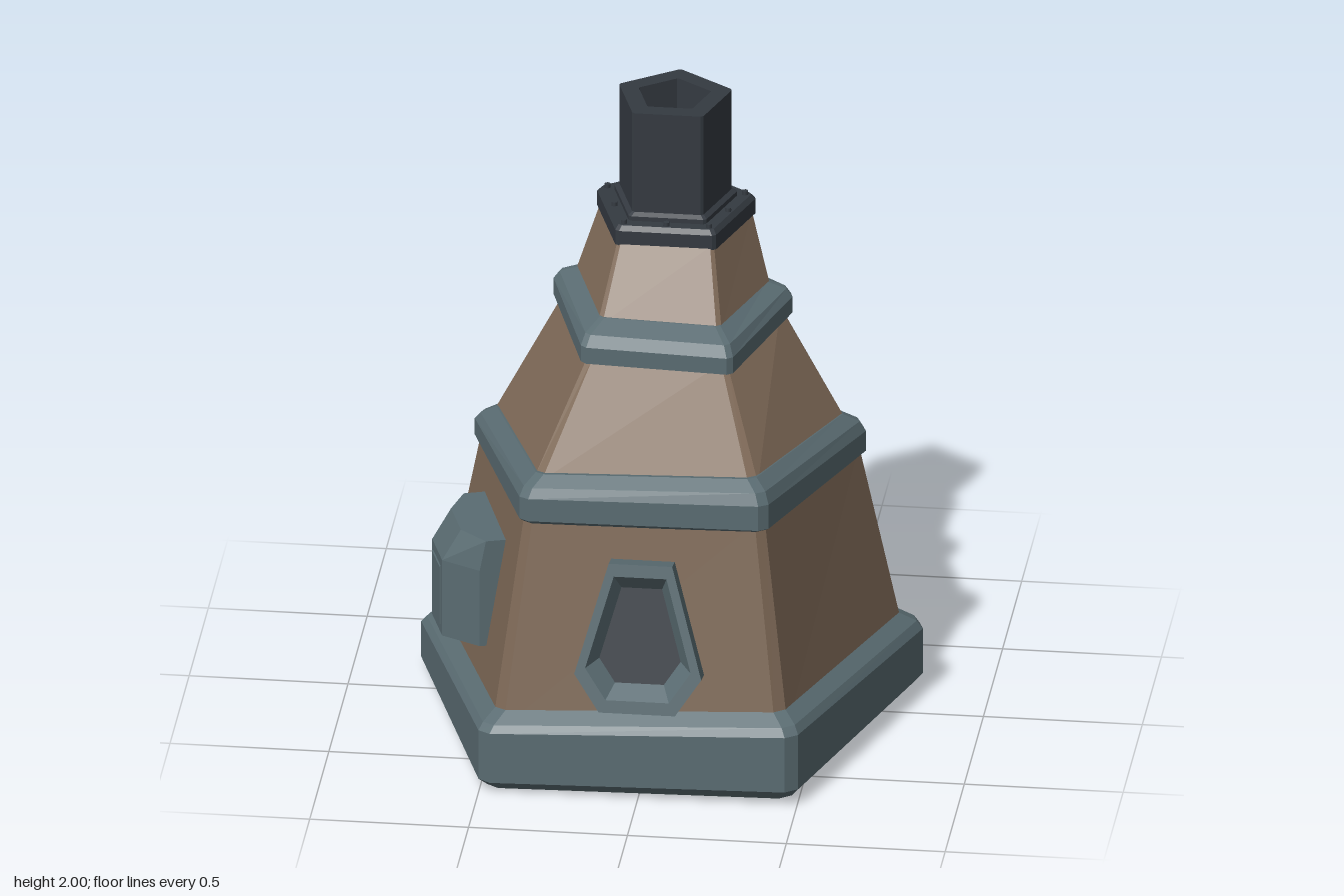
import * as THREE from 'three';

const V = (x, y, z) => new THREE.Vector3(x, y, z);

// Flat-shaded skin over a list of matching loops, with optional end caps
function loft(loops, capStart = false, capEnd = false) {
  const out = [];
  const tri = (a, b, c) => out.push(...a.toArray(), ...b.toArray(), ...c.toArray());
  const n = loops[0].length;
  for (let j = 0; j < loops.length - 1; j++) {
    for (let i = 0; i < n; i++) {
      const k = (i + 1) % n, lo = loops[j], hi = loops[j + 1];
      tri(lo[i], lo[k], hi[k]);
      tri(lo[i], hi[k], hi[i]);
    }
  }
  const first = loops[0], last = loops[loops.length - 1];
  for (let i = 1; i < n - 1; i++) {
    if (capStart) tri(first[0], first[i + 1], first[i]);
    if (capEnd) tri(last[0], last[i], last[i + 1]);
  }
  const g = new THREE.BufferGeometry();
  g.setAttribute('position', new THREE.Float32BufferAttribute(out, 3));
  g.computeVertexNormals();
  return g;
}

// Five-sided ring with clipped corners; r radius, c centre z, y height, tx/tz slopes
function ring([r, c, y, tx = 0, tz = 0], clip = 0.03) {
  const corner = (i) => {
    const a = (i * 72 + 36) * Math.PI / 180;
    const x = r * Math.sin(a), z = c + r * Math.cos(a);
    return V(x, y + tx * x + tz * z, z);
  };
  const pts = [];
  for (let i = 0; i < 5; i++) {
    pts.push(corner(i).lerp(corner(i + 4), clip), corner(i).lerp(corner(i + 1), clip));
  }
  return pts;
}

export function createModel() {
  const model = new THREE.Group();
  const material = (name, color) => {
    const m = new THREE.MeshStandardMaterial({ color });
    m.name = name;
    return m;
  };
  const brown = material('brown wall', 0x7d6856);
  const slate = material('slate trim', 0x5a6c72);
  const iron = material('dark iron', 0x343a41);
  const hollow = material('vent hollow', 0x3d4349);

  const add = (name, geometry, mat, parent = model) => {
    const m = new THREE.Mesh(geometry, mat);
    m.name = name;
    parent.add(m);
    return m;
  };
  const stack = (name, mat, rings, capStart, capEnd) =>
    add(name, loft(rings.map((p) => ring(p)), capStart, capEnd), mat);

  // Leaning walls
  stack('lowerWall', brown, [[0.775, 0.065, 0.2, 0.04, 0.04], [0.632, 0.06, 0.86, 0.02, 0.06]]);
  stack('middleWall', brown, [[0.59, 0.06, 0.95, 0.03, 0.1], [0.36, -0.09, 1.29, -0.03, -0.06]]);
  stack('upperWall', brown, [[0.325, -0.1, 1.37, -0.03, -0.03], [0.254, -0.2, 1.58]]);

  // Sloping trim bands
  stack('baseTrim', slate, [
    [0.8, 0.065, 0.015, 0.015, 0], [0.84, 0.067, 0.05, 0.02, 0],
    [0.84, 0.067, 0.195, 0.04, 0.045], [0.82, 0.066, 0.22, 0.045, 0.045],
    [0.76, 0.065, 0.255, 0.045, 0.045],
  ], true, true);
  stack('middleTrim', slate, [
    [0.615, 0.06, 0.82, 0.02, 0.06], [0.655, 0.06, 0.845, 0.01, 0.06],
    [0.655, 0.06, 0.91, 0.02, 0.085], [0.635, 0.06, 0.94, 0.03, 0.095],
    [0.58, 0.06, 0.97, 0.03, 0.1],
  ], true, true);
  stack('upperTrim', slate, [
    [0.35, -0.085, 1.265, -0.03, -0.06], [0.4, -0.08, 1.275, -0.03, -0.06],
    [0.4, -0.08, 1.33, -0.03, -0.06], [0.38, -0.085, 1.36, -0.03, -0.04],
    [0.315, -0.1, 1.385, -0.03, -0.02],
  ], true, true);

  // Chimney flange and hollow pipe
  const cz = -0.205;
  stack('chimneyFlange', iron, [
    [0.265, cz, 1.57], [0.265, cz, 1.62], [0.25, cz, 1.635],
  ], true, true);
  stack('chimneyPipe', iron, [
    [0.205, cz, 1.63], [0.205, cz, 1.65], [0.188, cz, 1.66],
    [0.188, cz, 2], [0.12, cz, 2], [0.115, cz, 1.72],
  ], false, true);

  // Flange bolts at corners and edge middles
  for (let i = 0; i < 10; i++) {
    const a = i * Math.PI / 5, r = i % 2 ? 0.228 : 0.188;
    add('flangeBolt', new THREE.CylinderGeometry(0.01, 0.011, 0.015, 6), iron)
      .position.set(r * Math.sin(a), 1.64, cz + r * Math.cos(a));
  }

  // Framed six-sided vents lying on the wall
  const outline = [[-0.12, -0.24], [0.12, -0.24], [0.2, -0.12], [0.1, 0.24], [-0.1, 0.24], [-0.2, -0.12]];
  const hex = (s, z) => outline.map(([x, y]) => V(x * s, y * s, z));
  const vent = (name, degrees, y, sy) => {
    const pivot = new THREE.Group();
    pivot.name = name;
    pivot.position.set(0, y, 0.065);
    pivot.rotation.y = degrees * Math.PI / 180;
    const panel = new THREE.Group();
    panel.name = name + 'Panel';
    panel.position.z = 0.58;
    panel.rotation.x = -0.2;
    panel.scale.y = sy;
    pivot.add(panel);
    add('ventFrame', loft([hex(1, -0.03), hex(1, 0.065), hex(0.83, 0.065), hex(0.64, 0.012)]), slate, panel);
    add('ventHollow', loft([hex(0.66, 0.008), hex(0.64, 0.012)], false, true), hollow, panel);
    model.add(pivot);
  };
  vent('frontVent', 0, 0.53, 1);
  vent('backVent', 144, 0.52, 0.8);

  // Boxy hood on the right wall, chamfered at the top
  const hood = new THREE.Group();
  hood.name = 'sideHood';
  hood.position.z = 0.065;
  hood.rotation.y = -72 * Math.PI / 180;
  const plan = (y, mid, tip) => [
    [-0.18, 0.5], [-0.18, mid], [-0.08, tip], [0.08, tip], [0.18, mid], [0.18, 0.5],
  ].map(([x, z]) => V(x, y, z));
  add('hoodShell', loft([plan(0.36, 0.62, 0.72), plan(0.62, 0.62, 0.72), plan(0.72, 0.6, 0.66)], true, true), slate, hood);
  add('hoodPlate', new THREE.BoxGeometry(0.12, 0.2, 0.008), slate, hood).position.set(0, 0.49, 0.721);
  model.add(hood);

  return model;
}
